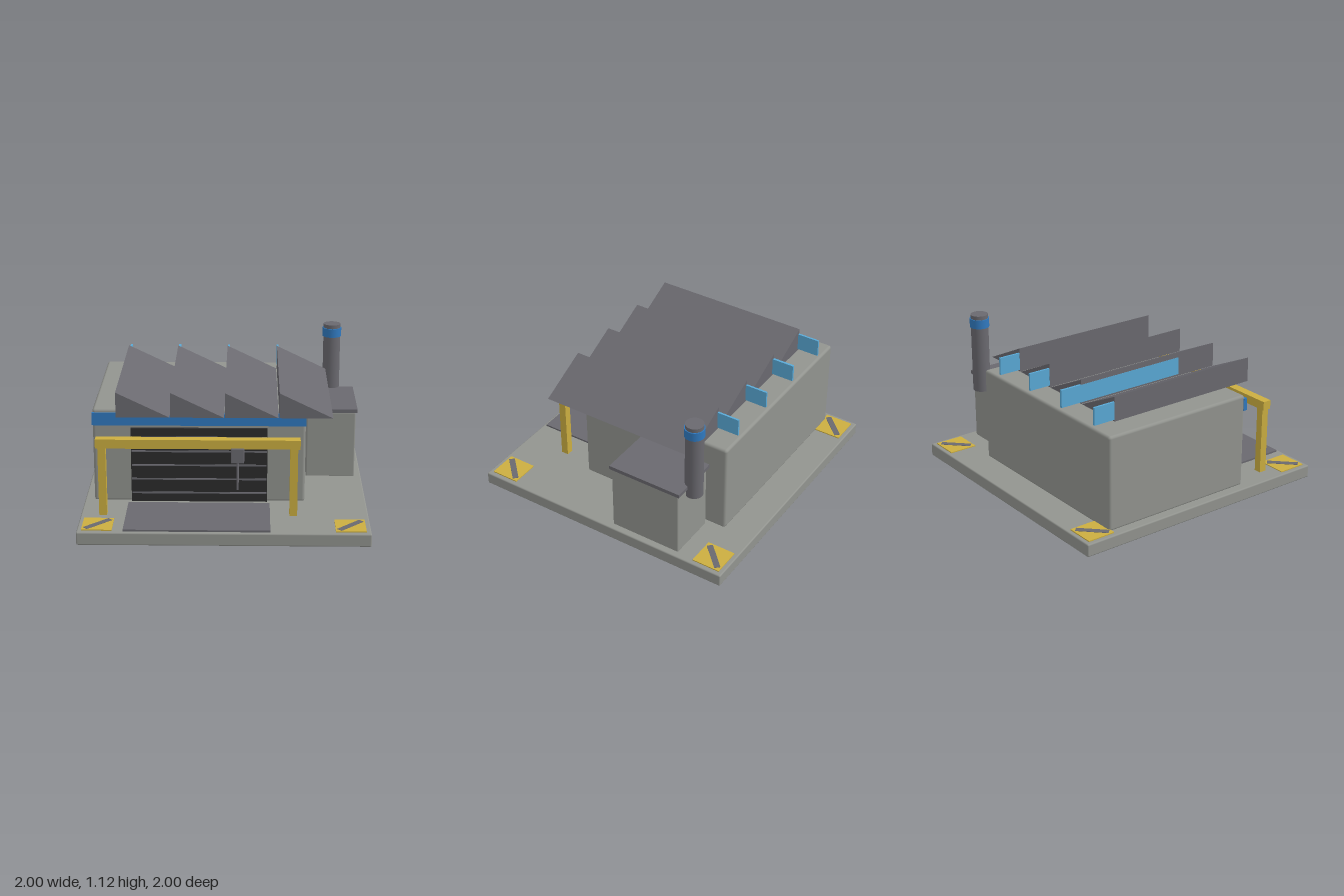
import * as THREE from 'three';
import { RoundedBoxGeometry } from 'three/addons/geometries/RoundedBoxGeometry.js';

const mat = (name, color) => Object.assign(new THREE.MeshStandardMaterial({ color }), { name });

export function createModel() {
  const concrete = mat('concrete grey', 0x92948f);
  const steel = mat('dark steel', 0x6a696f);
  const yellow = mat('safety yellow', 0xcbae40);
  const blue = mat('trim blue', 0x3079bf);
  const glass = mat('window blue', 0x5aa9d6);
  const shutter = mat('shutter black', 0x2b2b2c);

  const model = new THREE.Group();
  model.name = 'factory';

  const add = (name, geometry, material, x = 0, y = 0, z = 0) => {
    const mesh = new THREE.Mesh(geometry, material);
    mesh.name = name;
    mesh.position.set(x, y, z);
    model.add(mesh);
    return mesh;
  };
  // Box given by its limits on each axis, with an optional edge radius
  const box = (name, material, [x0, x1], [y0, y1], [z0, z1], radius = 0) => {
    const size = [x1 - x0, y1 - y0, z1 - z0];
    const geometry = radius
      ? new RoundedBoxGeometry(...size, 3, radius)
      : new THREE.BoxGeometry(...size);
    return add(name, geometry, material, (x0 + x1) / 2, (y0 + y1) / 2, (z0 + z1) / 2);
  };

  // Ground slab and main hall
  box('baseSlab', concrete, [-1, 1], [0, 0.093], [-1, 1], 0.01);
  box('mainHall', concrete, [-0.932, 0.565], [0.085, 0.775], [-0.772, 0.405], 0.02);
  box('fasciaBand', blue, [-0.936, 0.568], [0.66, 0.75], [0.395, 0.422]);

  // Roller door with horizontal ribs
  box('rollerDoor', shutter, [-0.665, 0.297], [0.093, 0.64], [0.4, 0.428]);
  for (let i = 0; i < 5; i++) {
    const y = 0.16 + i * 0.104;
    box('doorRib', steel, [-0.66, 0.292], [y - 0.006, y + 0.006], [0.42, 0.433]);
  }
  box('loadingRamp', steel, [-0.685, 0.315], [0.09, 0.106], [0.48, 0.975]);

  // Saw-tooth roof with a window strip along each upright face
  const profile = new THREE.Shape([
    new THREE.Vector2(0, 0), new THREE.Vector2(0.37, 0), new THREE.Vector2(0, 0.178),
  ]);
  const tooth = new THREE.ExtrudeGeometry(profile, { depth: 1.18, bevelEnabled: false });
  for (let i = 0; i < 4; i++) {
    const x = -0.75 + i * 0.375;
    add('roofTooth', tooth, steel, x, 0.777, -0.59);
    const out = i === 1 ? -0.002 : 0.001;
    box('roofWindow', glass, [x + out, x + 0.016], [0.79, 0.918], [-0.755, 0.265]);
  }

  // Side annex
  box('annex', concrete, [0.59, 0.95], [0.085, 0.592], [-0.632, -0.092], 0.01);
  box('annexRoof', steel, [0.578, 0.962], [0.59, 0.618], [-0.647, -0.083]);

  // Chimney with a blue collar
  add('chimney', new THREE.CylinderGeometry(0.064, 0.064, 0.59, 24), steel, 0.793, 0.82, -0.66);
  add('chimneyCollar', new THREE.CylinderGeometry(0.071, 0.071, 0.066, 24), blue, 0.793, 1.053, -0.66);

  // Gantry crane
  box('gantryBeam', yellow, [-0.888, 0.52], [0.585, 0.65], [0.628, 0.692]);
  for (const x of [-0.845, 0.477]) {
    box('gantryPost', yellow, [x - 0.027, x + 0.027], [0.09, 0.59], [0.633, 0.687]);
  }
  box('hoistTrolley', steel, [0.043, 0.135], [0.485, 0.592], [0.617, 0.705], 0.006);
  add('hoistCable', new THREE.CylinderGeometry(0.009, 0.009, 0.21, 10), steel, 0.089, 0.383, 0.66);

  // Hazard plates at the four corners, each with a diagonal stripe
  for (const x of [-0.865, 0.862]) {
    for (const z of [-0.865, 0.862]) {
      add('hazardPlate', new THREE.BoxGeometry(0.208, 0.009, 0.208), yellow, x, 0.096, z);
      const stripe = add('hazardStripe', new THREE.BoxGeometry(0.225, 0.006, 0.043), steel, x, 0.0995, z);
      stripe.rotation.y = Math.PI / 4;
    }
  }
  return model;
}
